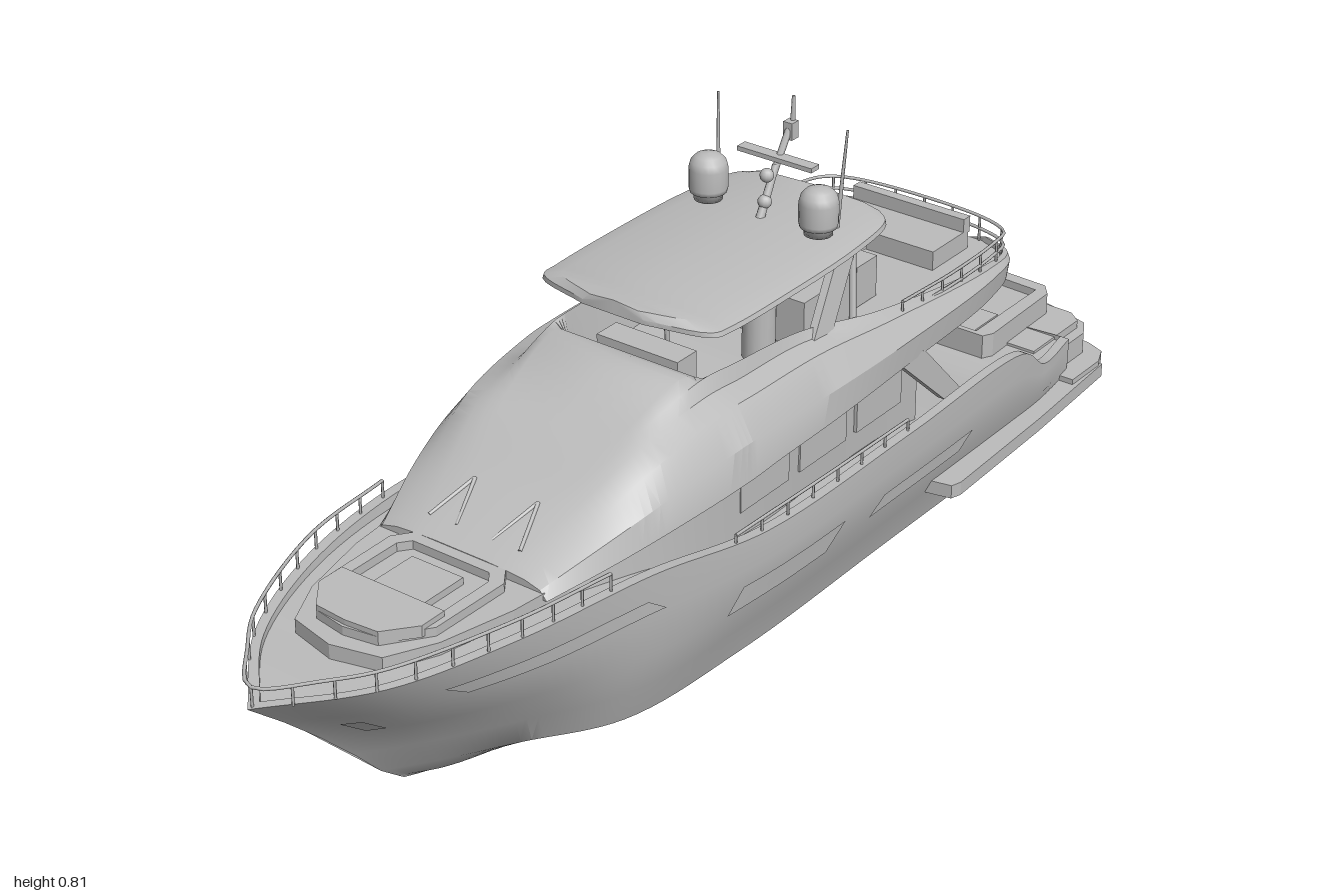
import * as THREE from 'three';
import { toCreasedNormals } from 'three/addons/utils/BufferGeometryUtils.js';

const V = (p) => new THREE.Vector3(...p);
const curve = (pts) => new THREE.CatmullRomCurve3(pts.map(V));

export function createModel() {
  const yacht = new THREE.Group();
  yacht.name = 'motorYacht';
  const paint = new THREE.MeshStandardMaterial({ color: 0xbcbcbc, side: THREE.DoubleSide });
  paint.name = 'grey';

  const add = (name, geo) => {
    const m = new THREE.Mesh(geo, paint);
    m.name = name;
    yacht.add(m);
    return m;
  };
  const box = (name, w, h, d, x, y, z) => {
    const m = add(name, new THREE.BoxGeometry(w, h, d));
    m.position.set(x, y, z);
    return m;
  };
  const rod = (name, a, b, r, r2 = r, sides = 6) => {
    const A = V(a), B = V(b), d = B.clone().sub(A);
    const m = add(name, new THREE.CylinderGeometry(r2, r, d.length(), sides));
    m.position.copy(A).addScaledVector(d, 0.5);
    m.quaternion.setFromUnitVectors(new THREE.Vector3(0, 1, 0), d.normalize());
    return m;
  };
  const tube = (name, pts, r, n = 40) => add(name, new THREE.TubeGeometry(curve(pts), n, r, 5));

  // Symmetric body from lengthwise lines; the first and last lines lie on x = 0
  const loft = (name, rows, n, crease = 0.5) => {
    const lines = rows.map(curve), pos = [], idx = [];
    const count = rows.length * 2 - 2;
    for (let i = 0; i <= n; i++) {
      const half = lines.map((c) => c.getPoint(i / n));
      const mirror = half.slice(1, -1).reverse().map((p) => new THREE.Vector3(-p.x, p.y, p.z));
      for (const p of [...half, ...mirror]) pos.push(p.x, p.y, p.z);
    }
    for (let i = 0; i < n; i++) for (let j = 0; j < count; j++) {
      const a = i * count + j, b = i * count + (j + 1) % count;
      idx.push(a, a + count, b, b, a + count, b + count);
    }
    for (const [s, flip] of [[0, false], [n * count, true]]) {
      for (let j = 1; j < count - 1; j++) idx.push(s, s + (flip ? j + 1 : j), s + (flip ? j : j + 1));
    }
    const g = new THREE.BufferGeometry();
    g.setAttribute('position', new THREE.Float32BufferAttribute(pos, 3));
    g.setIndex(idx);
    return add(name, toCreasedNormals(g, crease));
  };

  // Horizontal slab from half an outline of [x, z], with an optional opening
  const mirrored = (half) => [...half, ...half.slice().reverse().map(([x, z]) => [-x, z])]
    .map(([x, z]) => new THREE.Vector2(x, -z));
  const slab = (name, half, y, h, hole) => {
    const s = new THREE.Shape(mirrored(half));
    if (hole) s.holes.push(new THREE.Path(mirrored(hole)));
    const g = new THREE.ExtrudeGeometry(s, { depth: h, bevelEnabled: false });
    g.rotateX(-Math.PI / 2);
    return add(name, g).translateY(y);
  };

  // Hull lines run from stern to stem
  const sheer = [[.22, .195, -.87], [.243, .205, -.75], [.256, .27, -.65], [.26, .275, -.3], [.258, .28, .1], [.243, .33, .38], [.203, .338, .65], [.128, .33, .85], [0, .325, 1]];
  const zs = [-.87, -.75, -.65, -.3, .1, .38];
  const line = (x, y, bow) => [...zs.map((z, i) => [x[i], y[i], z]), ...bow];
  const upper = line([.22, .243, .255, .26, .26, .24], [.18, .185, .22, .225, .23, .26], [[.195, .265, .62], [.115, .265, .8], [0, .265, .93]]);
  const mid = line([.22, .243, .25, .252, .252, .232], [.15, .15, .16, .16, .165, .18], [[.172, .195, .59], [.095, .2, .74], [0, .2, .86]]);
  const knuckle = line([.215, .22, .222, .225, .225, .21], [.1, .1, .1, .1, .1, .11], [[.14, .125, .56], [.07, .13, .69], [0, .13, .79]]);
  const chine = line([.2, .203, .205, .206, .205, .185], [.04, .038, .035, .035, .035, .045], [[.11, .06, .54], [.055, .068, .65], [0, .07, .735]]);
  const bilge = line([.1, .1, .1, .1, .1, .09], [.026, .022, .019, .014, .01, .014], [[.055, .02, .53], [.03, .03, .63], [0, .042, .7]]);
  const keel = line([0, 0, 0, 0, 0, 0], [.02, .016, .013, .007, 0, 0], [[0, .002, .52], [0, .01, .62], [0, .03, .685]]);
  const deckY = [.185, .185, .185, .25, .255, .31, .325, .32, .315];
  const inset = sheer.map(([x, y, z], i) => [Math.max(0, x - .018), y, i === 8 ? .975 : z]);
  const deckEdge = inset.map(([x, , z], i) => [x * .99, deckY[i], z]);
  const deckMid = deckEdge.map(([, y, z]) => [0, y, z]);
  loft('hull', [deckMid, deckEdge, inset, sheer, upper, mid, knuckle, chine, bilge, keel], 72, 0.45);

  // Thin window plates that follow the hull side: station range, lower and upper line, blend range
  const hullWindow = (name, t0, t1, lower, top, v0, v1, skew) => {
    const lo = curve(lower), hi = curve(top), n = 10;
    for (const s of [1, -1]) {
      const pos = [], idx = [];
      for (let i = 0; i <= n; i++) for (const v of [v0, v1]) {
        const t = (t0 + (t1 - t0) * i / n + (v === v1 ? skew : 0)) / 8;
        const p = lo.getPoint(t).lerp(hi.getPoint(t), v);
        pos.push(s * (p.x + .004), p.y, p.z);
      }
      for (let i = 0; i < n; i++) { const a = i * 2; idx.push(a, a + 1, a + 2, a + 1, a + 3, a + 2); }
      const g = new THREE.BufferGeometry();
      g.setAttribute('position', new THREE.Float32BufferAttribute(pos, 3));
      g.setIndex(idx);
      g.computeVertexNormals();
      add(name, g);
    }
  };
  hullWindow('midHullWindow', 3.6, 4.35, mid, upper, .0, .6, -.12);
  hullWindow('foreHullWindow', 4.9, 6.5, upper, sheer, .05, .4, .15);
  hullWindow('aftHullWindow', 2.6, 3.3, mid, upper, .1, .5, -.1);
  hullWindow('anchorPocket', 7.35, 7.55, mid, upper, .1, .65, .1);

  // Swim platform, side sponsons and central fin
  slab('swimPlatform', [[.25, -.84], [.25, -.93], [.235, -.965], [.2, -.98], [.1, -.992], [0, -.993]], .1, .035);
  slab('platformStep', [[.21, -.84], [.21, -.94], [.19, -.975], [.1, -1], [0, -1]], .13, .045);
  slab('loungeStep', [[.19, -.8], [.19, -.95], [.165, -.97], [0, -.975]], .17, .02);
  slab('sponsons', [[.22, -.4], [.272, -.41], [.278, -.43], [.268, -.7], [.252, -.94], [0, -.95]], .1, .025);
  for (const s of [1, -1]) {
    // Slanted wing at the end of the side deck
    const wing = new THREE.ExtrudeGeometry(new THREE.Shape([[.3, .39], [.37, .39], [.49, .265], [.44, .265]].map(([z, y]) => new THREE.Vector2(z, y))), { depth: .015, bevelEnabled: false });
    wing.rotateY(Math.PI / 2);
    add('sideWing', wing).position.x = s * .225 - .0075;
  }
  box('fin', .02, .085, .07, 0, .06, -.905);

  // Cockpit lounge at the stern
  const lounge = [[.125, -.73], [.135, -.75], [.13, -.94], [.11, -.965], [0, -.97]];
  slab('aftSunpad', lounge, .185, .03);
  slab('aftBackrest', lounge, .2, .03, [[.105, -.74], [.105, -.94], [0, -.945]]);
  box('aftTable', .2, .012, .08, 0, .222, -.78);
  rod('cockpitPole', [0, .18, -.725], [0, .39, -.7], .006);

  // Main deck cabin
  const hz = [-.4, -.1, .14, .3, .42, .52];
  const at = (z, x, y) => z.map((v, i) => [x[i], y[i], v]);
  const none = (r) => r.map(([, y, z]) => [0, y, z]);
  const cabinTop = at(hz, [.2, .21, .21, .2, .18, .15], [.39, .39, .39, .38, .36, .345]);
  const cabinBase = at(hz, [.2, .205, .21, .205, .185, .16], [.19, .24, .25, .29, .31, .32]);
  loft('mainCabin', [none(cabinTop), cabinTop, cabinBase, none(cabinBase)], 24);
  for (const s of [1, -1]) for (let i = 0; i < 3; i++) box('cabinWindow', .006, .07, .13, s * .209, .335, -.27 + i * .16);

  // Upper deck, wheelhouse slope and flybridge coaming
  const uz = [-.72, -.69, -.6, -.3, -.1, .06, .14, .3, .42, .54];
  const r1 = at(uz, [.13, .19, .215, .235, .245, .248, .246, .23, .205, .168], [.39, .39, .385, .385, .385, .385, .38, .37, .355, .335]);
  const r2 = at(uz, [.14, .195, .22, .237, .241, .24, .237, .22, .193, .155], [.42, .422, .425, .43, .435, .44, .44, .42, .39, .35]);
  const r3 = at(uz, [.135, .19, .21, .212, .206, .204, .2, .188, .16, .125], [.43, .432, .44, .468, .487, .49, .488, .46, .407, .358]);
  const r4 = at(uz, [.13, .185, .202, .2, .172, .166, .162, .15, .12, .08], [.43, .432, .44, .472, .497, .5, .502, .475, .415, .361]);
  const r5 = at(uz, [.125, .18, .195, .185, .165, .158, .15, .13, .09, .05], [.43, .432, .44, .477, .515, .526, .526, .479, .417, .362]);
  const r6 = at(uz, [.12, .175, .188, .175, .153, .145, .13, .11, .07, .03], [.42, .42, .42, .42, .43, .43, .528, .48, .418, .362]);
  loft('upperDeck', [none(r1), r1, r2, r3, r4, r5, r6, none(r6)], 70);

  // Windscreen wipers
  for (const s of [1, -1]) for (const k of [-.027, .027]) {
    rod('wiper', [s * .062, .414, .428], [s * .062 + k, .376, .505], .0035);
  }

  // Foredeck trunk with lounge
  slab('foredeckTrunk', [[.17, .45], [.155, .6], [.125, .73], [.085, .81], [0, .83]], .3, .046);
  slab('foreBackrest', [[.09, .54], [.112, .57], [.11, .72], [.06, .79], [0, .8]], .345, .016, [[.075, .56], [.09, .58], [.09, .69], [0, .69]]);
  box('foreTable', .1, .012, .09, 0, .352, .635);
  slab('foreSunpad', [[.1, .69], [.1, .74], [.06, .79], [0, .795]], .35, .02);

  // Hardtop and its supports
  const tz = [-.38, -.36, -.25, -.05, .09, .13, .165];
  const rim = at(tz, [.13, .155, .175, .18, .176, .168, .06], [.602, .6, .6, .6, .6, .602, .605]);
  const lip = rim.map(([x, y, z]) => [x * .985, y + .008, z]);
  const crown = rim.map(([x, y, z]) => [x * .78, y + .019, z * .98]);
  const ridge = crown.map(([, y, z]) => [0, y + .004, z]);
  loft('hardtop', [ridge, crown, lip, rim, none(rim)], 30);
  for (const s of [1, -1]) {
    const g = new THREE.BoxGeometry(.014, .13, .055);
    const p = g.attributes.position;
    for (let i = 0; i < p.count; i++) {
      const up = p.getY(i) > 0;
      p.setX(i, p.getX(i) + s * (up ? .15 : .175));
      p.setZ(i, p.getZ(i) + (up ? -.25 : -.14));
    }
    g.computeVertexNormals();
    add('hardtopArch', g).position.y = .545;
    rod('archBrace', [s * .175, .47, -.24], [s * .15, .6, -.27], .006);
  }
  rod('hardtopPost', [0, .43, .02], [0, .61, .035], .004);

  // Satellite domes, aerials and mast
  const dome = [[0, 0], [.024, 0], [.024, .01], [.031, .014], [.033, .022], [.033, .056], [.03, .068], [.022, .077], [.012, .081], [0, .082]];
  for (const s of [1, -1]) {
    add('satelliteDome', new THREE.LatheGeometry(dome.map(([x, y]) => new THREE.Vector2(x, y)), 20)).position.set(s * .11, .622, -.23);
    rod('aerial', [s * .119, .62, -.27], [s * .128, .79, -.28], .004, .002);
  }
  rod('mastBase', [0, .615, -.22], [0, .7, -.265], .008, .006, 10);
  rod('mast', [0, .68, -.255], [0, .75, -.3], .006);
  rod('mastTip', [0, .74, -.31], [0, .805, -.312], .005, .003);
  for (const [y, z] of [[.645, -.235], [.69, -.24]]) {
    add('mastLight', new THREE.SphereGeometry(.012, 12, 8)).position.set(0, y, z);
  }
  box('radarBar', .148, .008, .022, 0, .711, -.27);
  box('mastLamp', .018, .03, .018, 0, .748, -.305);

  // Flybridge furniture
  box('aftSofa', .23, .035, .11, 0, .438, -.625);
  box('sofaBack', .23, .03, .02, 0, .465, -.675);
  box('barUnit', .18, .075, .06, 0, .458, -.405);
  box('flyBench', .22, .09, .13, 0, .465, -.26);
  rod('tableLeg', [0, .42, -.5], [0, .462, -.5], .006);
  rod('roundTable', [0, .46, -.5], [0, .468, -.5], .022, .022, 20);
  box('helmConsole', .16, .09, .05, 0, .475, .08);
  rod('helmSeat', [.067, .43, -.13], [.067, .53, -.13], .028, .028, 16);
  rod('helmSeatCushion', [.067, .53, -.13], [.067, .545, -.13], .036, .032, 16);

  // Railings
  const rail = (name, base, h, posts, bars = [1]) => {
    for (const b of bars) tube(name, base.map(([x, y, z]) => [x, y + h * b, z]), .003, 60);
    const c = curve(base);
    for (let i = 0; i <= posts; i++) {
      const p = c.getPointAt(i / posts);
      rod(name + 'Post', [p.x, p.y, p.z], [p.x, p.y + h, p.z], .0025, .0025, 5);
    }
  };
  const flip = (pts) => pts.map(([x, y, z]) => [-x, y, z]);
  const around = (half) => [...half, ...flip(half).reverse()];
  rail('bowRail', around([[.23, .333, .46], ...sheer.slice(6, 8), [.07, .327, .925], [.012, .325, .987]].map(([x, y, z]) => [x * .98, y, z])), .033, 20);
  const midRail = [[.25, .27, -.3], [.252, .275, -.1], [.25, .28, .18]];
  for (const r of [midRail, flip(midRail)]) rail('sideRail', r, .025, 7);
  rail('flyRail', around([[.205, .437, -.34], [.205, .43, -.5], [.2, .43, -.63], [.183, .425, -.685], [.12, .425, -.71]]), .046, 18, [.5, 1]);

  // Stairs from the cockpit to the upper deck
  for (const x of [-.165, -.215]) rod('stairRail', [x, .185, -.53], [x, .39, -.42], .005);
  for (let i = 1; i < 8; i++) box('stairTread', .05, .006, .03, -.19, .185 + i * .0256, -.53 + i * .0137);

  return yacht;
}
